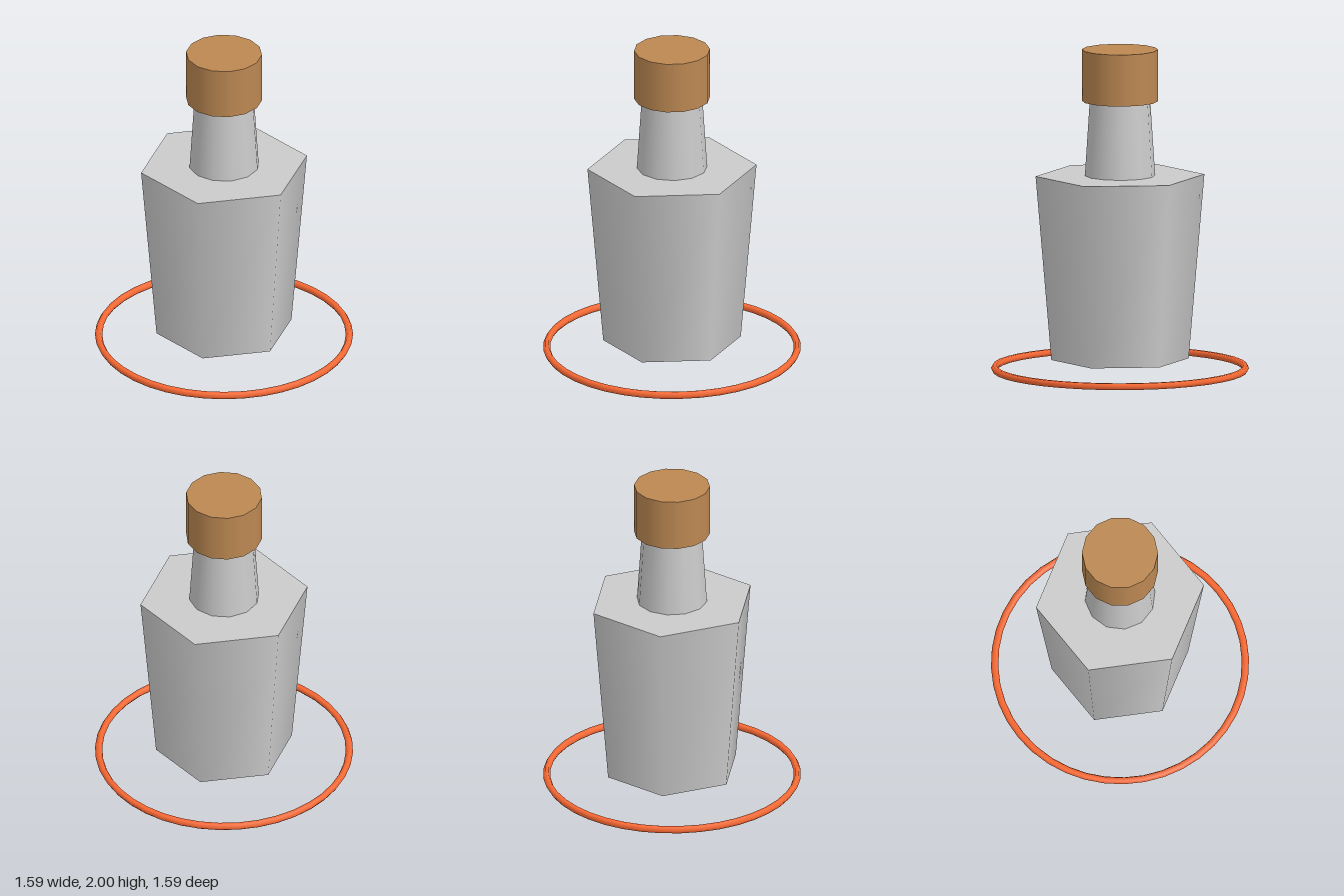
import * as THREE from 'three';

const material = (color) => new THREE.MeshStandardMaterial({ color });

// Tapered prism standing between two heights, smooth-shaded around its side
function taperedPart(name, rTop, rBottom, y0, y1, sides, color) {
  const geometry = new THREE.CylinderGeometry(rTop, rBottom, y1 - y0, sides);
  const mesh = new THREE.Mesh(geometry, material(color));
  mesh.name = name;
  mesh.position.y = (y0 + y1) / 2;
  return mesh;
}

export function createModel() {
  const model = new THREE.Group();
  model.name = 'bottle';

  // Hexagonal body, round neck and stopper
  model.add(taperedPart('body', 0.521, 0.424, 0.075, 1.218, 6, 0xcccccc));
  model.add(taperedPart('neck', 0.183, 0.218, 1.2, 1.74, 12, 0xcccccc));
  model.add(taperedPart('stopper', 0.234, 0.234, 1.68, 2, 14, 0xbc8852));

  // Thin ring lying on the ground around the body
  const tube = 0.0225;
  const ring = new THREE.Mesh(new THREE.TorusGeometry(0.771, tube, 6, 40), material(0xff6b35));
  ring.name = 'groundRing';
  ring.rotation.x = Math.PI / 2;
  ring.position.y = tube * Math.sin(Math.PI / 3);
  model.add(ring);

  return model;
}
